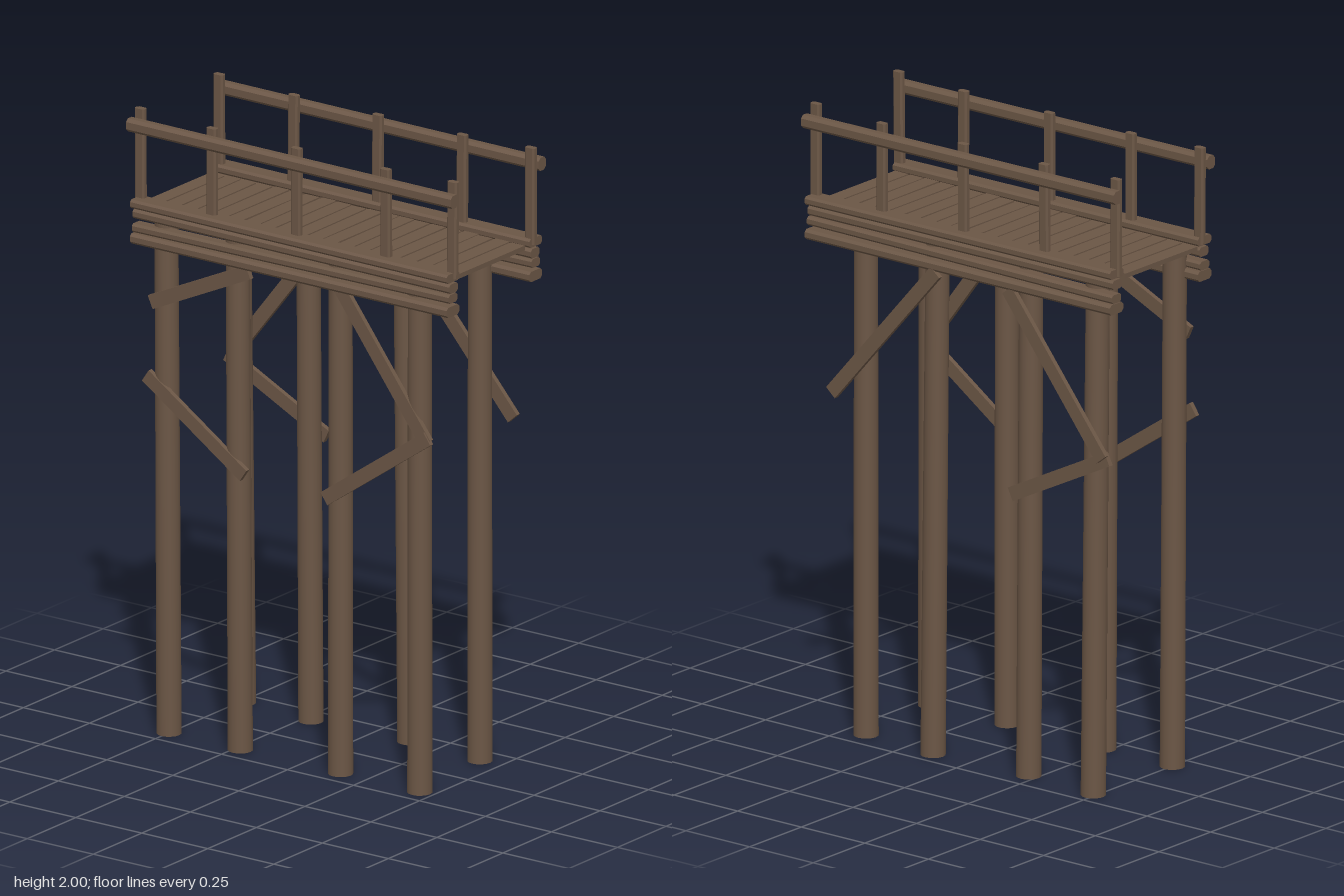
import * as THREE from 'three';

const wood = new THREE.MeshStandardMaterial({ color: 0x6b5645 });
const V = (x, y, z) => new THREE.Vector3(x, y, z);

// small repeatable jitter in -1..1
let seed = 7;
const jitter = () => {
  seed = (seed * 16807) % 2147483647;
  return (seed / 2147483647) * 2 - 1;
};

// bar with chamfered edges, running along local x
function barGeometry(length, h, d) {
  const c = Math.min(h, d) * 0.25, a = d / 2, b = h / 2;
  const shape = new THREE.Shape([
    [a, -b + c], [a, b - c], [a - c, b], [-a + c, b],
    [-a, b - c], [-a, -b + c], [-a + c, -b], [a - c, -b],
  ].map(([x, y]) => new THREE.Vector2(x, y)));
  const g = new THREE.ExtrudeGeometry(shape, { depth: length, bevelEnabled: false });
  return g.translate(0, 0, -length / 2).rotateY(Math.PI / 2);
}

// place a geometry that lies along local x between two points of one z plane
function span(name, p, q, make) {
  const mesh = new THREE.Mesh(make(p.distanceTo(q)), wood);
  mesh.name = name;
  mesh.position.copy(p).add(q).multiplyScalar(0.5);
  mesh.quaternion.setFromUnitVectors(V(1, 0, 0), q.clone().sub(p).normalize());
  return mesh;
}
const bar = (name, p, q, h, d) => span(name, p, q, (l) => barGeometry(l, h, d));
const board = (name, p, q, h, d) => span(name, p, q, (l) => new THREE.BoxGeometry(l, h, d));

export function createModel() {
  const model = new THREE.Group();
  model.name = 'woodenWalkway';

  // round support posts: bottom x, top x, bottom z, top z
  const posts = new THREE.Group();
  posts.name = 'supportPosts';
  const feet = [
    [-0.5, -0.51, 0.18, 0.18], [-0.23, -0.24, 0.18, 0.18],
    [0.15, 0.15, 0.18, 0.18], [0.45, 0.45, 0.18, 0.18],
    [-0.49, -0.5, -0.19, -0.18], [-0.22, -0.23, -0.17, -0.17],
    [0.14, 0.13, -0.19, -0.18], [0.42, 0.42, -0.17, -0.17],
  ];
  for (const [x0, x1, z0, z1] of feet) {
    const g = new THREE.CylinderGeometry(0.037, 0.039, 1.68, 16);
    const pos = g.attributes.position;
    for (let i = 0; i < pos.count; i++) {
      const y = pos.getY(i) + 0.84, t = y / 1.68;
      pos.setXYZ(i, pos.getX(i) + x0 + (x1 - x0) * t, y, pos.getZ(i) + z0 + (z1 - z0) * t);
    }
    const post = new THREE.Mesh(g, wood);
    post.name = 'supportPost';
    posts.add(post);
  }
  model.add(posts);

  // deck planks, slightly uneven
  const deck = new THREE.Group();
  deck.name = 'deck';
  for (let i = 0; i < 20; i++) {
    const plank = new THREE.Mesh(new THREE.BoxGeometry(0.053, 0.015, 0.352 + 0.006 * jitter()), wood);
    plank.name = 'deckPlank';
    plank.position.set(-0.575 + i * 0.0597, 1.682, 0.004 * jitter());
    plank.rotation.y = 0.015 * jitter();
    deck.add(plank);
  }
  model.add(deck);

  // edge beams and railing on both long sides
  const railX = { 1: [-0.59, -0.32, 0, 0.34, 0.59], [-1]: [-0.59, -0.31, 0.01, 0.33, 0.59] };
  for (const s of [1, -1]) {
    const side = new THREE.Group();
    side.name = s > 0 ? 'frontSide' : 'backSide';
    side.add(
      bar('upperEdgeBeam', V(-0.6, 1.7, s * 0.213), V(0.6, 1.695, s * 0.213), 0.028, 0.065),
      bar('edgeBoard', V(-0.6, 1.665, s * 0.21), V(0.6, 1.66, s * 0.21), 0.03, 0.045),
      bar('edgeBoard', V(-0.6, 1.62, s * 0.213), V(0.6, 1.628, s * 0.213), 0.028, 0.045),
      bar('lowerEdgeBeam', V(-0.6, 1.588, s * 0.213), V(0.6, 1.587, s * 0.213), 0.033, 0.065),
      bar('handRail', V(-0.615, 1.95, s * 0.226), V(0.615, 1.945, s * 0.226), 0.042, 0.038),
    );
    railX[s].forEach((x, i) => {
      const top = i % 4 === 0 ? 2 : 1.99;
      side.add(bar('railPost', V(x, 1.69, s * 0.202), V(x + 0.004 * jitter(), top, s * 0.202), 0.036, 0.022));
    });
    model.add(side);
  }

  // diagonal braces: x, y of each end and the z plane
  const braces = new THREE.Group();
  braces.name = 'braces';
  const ends = [
    [-0.54, 1.39, -0.17, 1.56, 0.215], [-0.56, 1.15, -0.19, 0.9, 0.213],
    [0.17, 1.58, 0.5, 1.14, 0.212], [0.51, 1.16, 0.12, 0.89, 0.218],
    [0.09, 1.57, 0.5, 1.1, -0.236], [-0.19, 1.57, -0.56, 1.1, -0.232],
    [-0.57, 1.1, -0.19, 0.91, -0.215],
  ];
  for (const [x0, y0, x1, y1, z] of ends) {
    const flip = x0 > x1;
    const p = V(x0, y0, z), q = V(x1, y1, z);
    braces.add(board('brace', flip ? q : p, flip ? p : q, 0.045, 0.016));
  }
  model.add(braces);

  return model;
}
